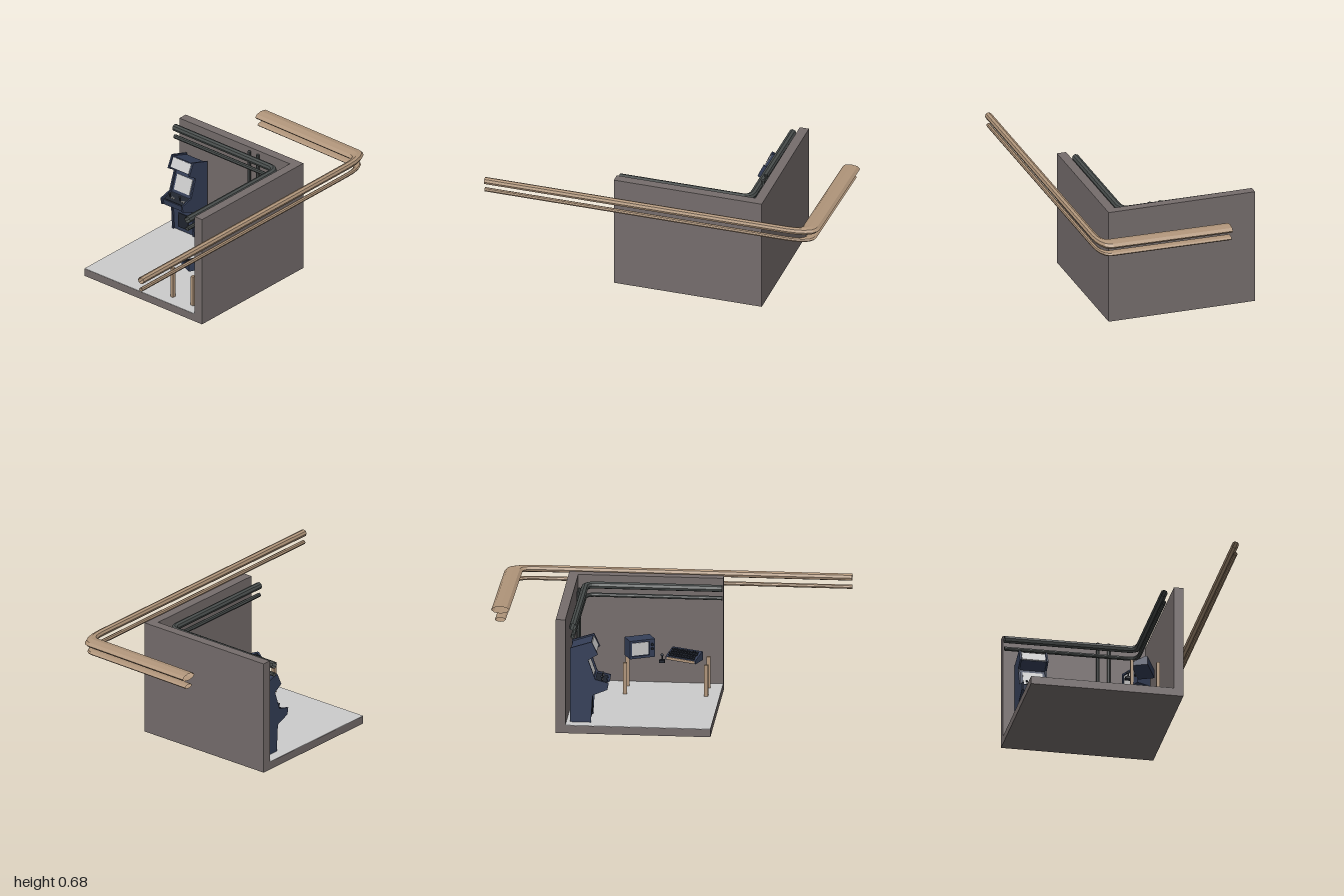
import * as THREE from 'three';

const mat = (color, flat = false) =>
  new THREE.MeshStandardMaterial({ color, flatShading: flat, side: THREE.DoubleSide });
const WALL = mat(0x756d6c), GREY = mat(0xcccccc), NAVY = mat(0x353f58), DARK = mat(0x20252f);
const TAN = mat(0xb0957a, true), STEEL = mat(0x484d4c, true);

function add(parent, name, geometry, material, x = 0, y = 0, z = 0) {
  const mesh = new THREE.Mesh(geometry, material);
  mesh.name = name;
  mesh.position.set(x, y, z);
  parent.add(mesh);
  return mesh;
}

// Box given by its lowest and highest corners
function box(parent, name, material, [x0, y0, z0], [x1, y1, z1]) {
  return add(parent, name, new THREE.BoxGeometry(x1 - x0, y1 - y0, z1 - z0), material,
    (x0 + x1) / 2, (y0 + y1) / 2, (z0 + z1) / 2);
}

function group(parent, name, x = 0, y = 0, z = 0) {
  const g = new THREE.Group();
  g.name = name;
  g.position.set(x, y, z);
  parent.add(g);
  return g;
}

// Profile in x and y, extruded from z0 to z1
function slab(parent, name, points, z0, z1, material) {
  const shape = new THREE.Shape(points.map(([x, y]) => new THREE.Vector2(x, y)));
  const geometry = new THREE.ExtrudeGeometry(shape, { depth: z1 - z0, bevelEnabled: false });
  return add(parent, name, geometry, material, 0, 0, z0);
}

// Thin panel lying on a sloping segment of a profile in x and y
function slopePanel(parent, name, a, b, width, z, material) {
  const length = Math.hypot(b[0] - a[0], b[1] - a[1]);
  const panel = add(parent, name, new THREE.BoxGeometry(length, 0.006, width), material,
    (a[0] + b[0]) / 2, (a[1] + b[1]) / 2, z);
  panel.rotation.z = Math.atan2(b[1] - a[1], b[0] - a[0]);
  return panel;
}

function room(model) {
  const g = group(model, 'room');
  box(g, 'floorBase', WALL, [-0.28, 0, -0.535], [0.605, 0.046, 0.35]);
  box(g, 'floorCovering', GREY, [-0.279, 0.045, -0.534], [0.551, 0.048, 0.296]);
  box(g, 'sideWall', WALL, [0.55, 0, -0.535], [0.605, 0.68, 0.35]);
  box(g, 'frontWall', WALL, [-0.28, 0, 0.295], [0.55, 0.68, 0.35]);
}

// Pair of pipes bending round the corner of the room
function pipePair(model, name, material) {
  const g = group(model, name);
  const v = (x, z) => new THREE.Vector3(x, 0, z);
  const path = new THREE.CurvePath();
  path.add(new THREE.LineCurve3(v(0, 0.238), v(0.725, 0.238)));
  path.add(new THREE.QuadraticBezierCurve3(v(0.725, 0.238), v(0.783, 0.238), v(0.783, 0.18)));
  path.add(new THREE.LineCurve3(v(0.783, 0.18), v(0.788, -0.535)));
  for (const [part, y, radius] of [['upperPipe', 0.638, 0.021], ['lowerPipe', 0.58, 0.0125]])
    add(g, part, new THREE.TubeGeometry(path, 90, radius, 8), material, 0, y, 0);
  return g;
}

function arcade(model) {
  const g = group(model, 'arcadeCabinet');
  const side = [[0.53, 0.046], [0.41, 0.046], [0.40, 0.21], [0.315, 0.245], [0.308, 0.285],
    [0.385, 0.305], [0.425, 0.42], [0.37, 0.455], [0.405, 0.53], [0.53, 0.49]];
  const core = [[0.526, 0.046], [0.42, 0.046], [0.41, 0.205], [0.328, 0.24], [0.322, 0.275],
    [0.395, 0.295], [0.437, 0.42], [0.382, 0.458], [0.41, 0.52], [0.526, 0.482]];
  slab(g, 'sidePanel', side, -0.47, -0.46, NAVY);
  slab(g, 'sidePanel', side, -0.315, -0.305, NAVY);
  slab(g, 'cabinetBody', core, -0.46, -0.315, NAVY);
  slopePanel(g, 'marquee', [0.381, 0.462], [0.406, 0.516], 0.135, -0.3875, GREY);
  slopePanel(g, 'screen', [0.399, 0.313], [0.43, 0.402], 0.115, -0.3875, GREY);
  slopePanel(g, 'controlPanel', [0.326, 0.278], [0.388, 0.295], 0.135, -0.3875, DARK);
  box(g, 'coinDoor', DARK, [0.408, 0.075, -0.425], [0.425, 0.165, -0.35]);
  // Joysticks and buttons
  for (const z of [-0.435, -0.36]) {
    add(g, 'stick', new THREE.CylinderGeometry(0.003, 0.003, 0.025, 6), DARK, 0.35, 0.298, z);
    add(g, 'stickKnob', new THREE.SphereGeometry(0.007, 8, 6), DARK, 0.35, 0.312, z);
    for (let i = 0; i < 2; i++)
      add(g, 'button', new THREE.CylinderGeometry(0.005, 0.005, 0.008, 8), GREY,
        0.348, 0.289, z + 0.018 + i * 0.014);
  }
}

function monitor(model) {
  const g = group(model, 'monitor', 0.187, 0.24, 0.168);
  g.rotation.y = 0.43;
  box(g, 'case', NAVY, [-0.076, 0.004, -0.038], [0.076, 0.112, 0.045]);
  // Raised front frame
  box(g, 'frameTop', NAVY, [-0.076, 0.1, -0.046], [0.076, 0.112, -0.036]);
  box(g, 'frameBottom', NAVY, [-0.076, 0.004, -0.046], [0.076, 0.018, -0.036]);
  box(g, 'frameSide', NAVY, [0.064, 0.018, -0.046], [0.076, 0.1, -0.036]);
  box(g, 'controlStrip', NAVY, [-0.076, 0.018, -0.046], [-0.042, 0.1, -0.036]);
  box(g, 'screen', GREY, [-0.038, 0.022, -0.042], [0.06, 0.096, -0.036]);
  for (const y of [0.08, 0.055]) {
    const knob = add(g, 'knob', new THREE.CylinderGeometry(0.008, 0.008, 0.01, 10), DARK,
      -0.059, y, -0.049);
    knob.rotation.x = Math.PI / 2;
  }
}

function keyboard(model) {
  const g = group(model, 'keyboard', -0.07, 0.232, 0.157);
  g.rotation.y = -0.4;
  // Wedge rising towards the back, turned so its profile runs along the depth
  const wedge = slab(g, 'keyboardBody',
    [[-0.047, 0], [0.047, 0], [0.047, 0.05], [0.03, 0.052], [-0.047, 0.02]], -0.096, 0.096, NAVY);
  wedge.rotation.y = -Math.PI / 2;
  wedge.position.set(0.096, 0, 0);
  box(g, 'frontStrip', TAN, [-0.09, 0.003, -0.05], [0.09, 0.017, -0.046]);
  for (let row = 0; row < 4; row++)
    for (let col = 0; col < 10; col++) {
      const z = -0.036 + row * 0.017;
      const key = add(g, 'key', new THREE.BoxGeometry(0.013, 0.009, 0.012), DARK,
        -0.079 + col * 0.0172 + (row % 2) * 0.004, 0.023 + (z + 0.047) * 0.416, z);
      key.rotation.x = -0.39;
    }
  // The slab is centred after its turn
  wedge.position.x = 0.096;
}

function joystick(model) {
  const g = group(model, 'joystick', 0.052, 0.234, 0.094);
  add(g, 'joystickBase', new THREE.BoxGeometry(0.032, 0.014, 0.032), DARK, 0, 0.007, 0);
  add(g, 'joystickStick', new THREE.CylinderGeometry(0.004, 0.005, 0.03, 8), DARK, 0, 0.027, 0);
  add(g, 'joystickKnob', new THREE.SphereGeometry(0.009, 10, 8), DARK, 0, 0.043, 0);
}

export function createModel() {
  const model = new THREE.Group();
  model.name = 'arcadeRoom';
  room(model);

  // Pipes inside the room, and a stretched pair outside it
  pipePair(model, 'innerPipes', STEEL).position.x = -0.28;
  const outer = pipePair(model, 'outerPipes', TAN);
  outer.scale.x = 2.47;
  outer.position.set(-1, 0, 0.272);

  // Upright pipes on the side wall
  for (const z of [0.012, 0.075])
    add(model, 'uprightPipe', new THREE.CylinderGeometry(0.01, 0.01, 0.625, 8), STEEL,
      0.525, 0.3575, z);

  // Four table legs
  for (const x of [-0.203, 0.261])
    for (const z of [0.065, 0.217])
      box(model, 'tableLeg', TAN, [x - 0.011, 0.046, z - 0.009], [x + 0.011, 0.234, z + 0.009]);

  arcade(model);
  monitor(model);
  keyboard(model);
  joystick(model);
  return model;
}
